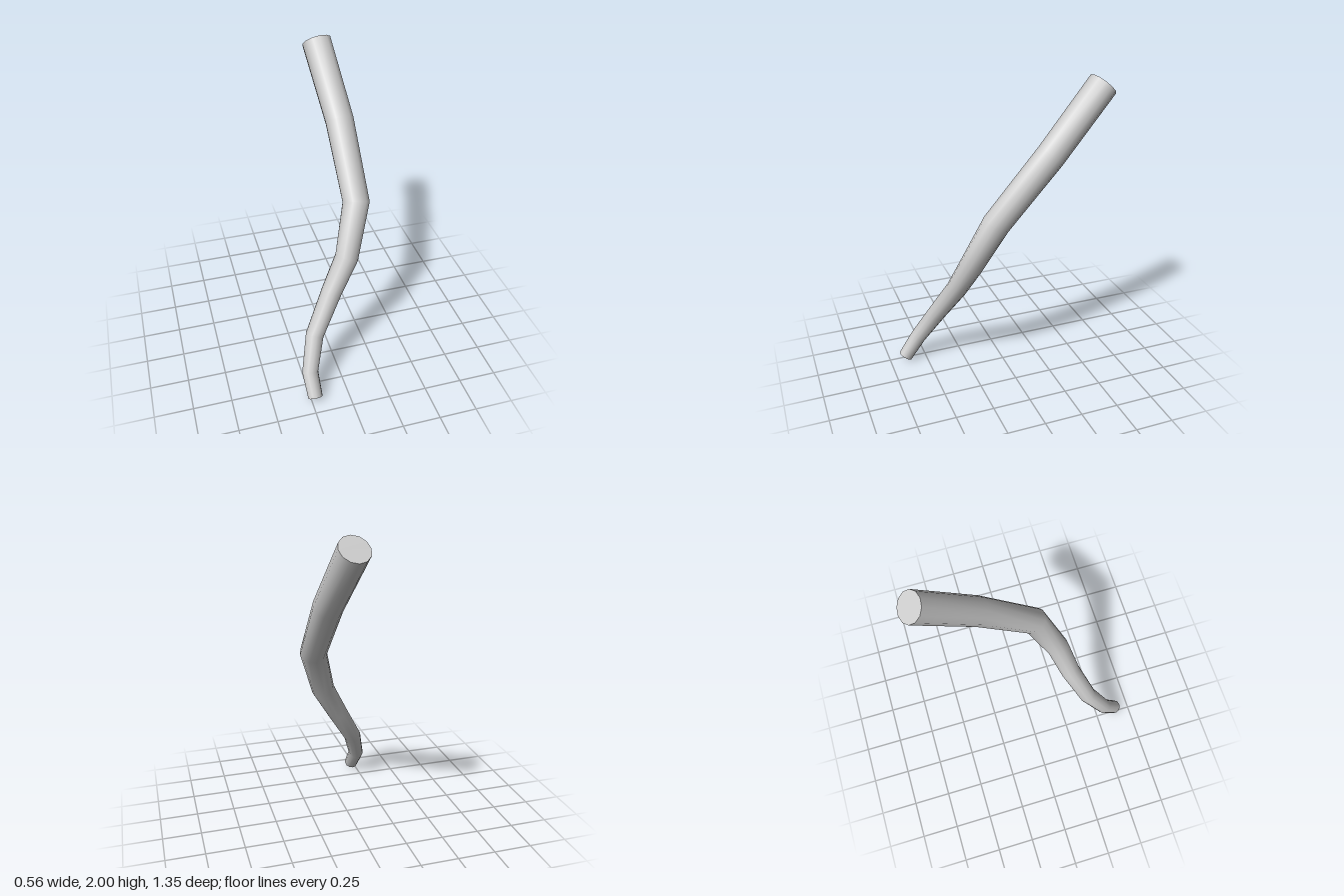
import * as THREE from 'three';

const SIDES = 12;

// Centre line from the thin lower end to the thick upper end: x, y, z, radius
const STATIONS = [
  [-0.225, 0.04, 0.645, 0.048],
  [-0.232, 0.175, 0.545, 0.053],
  [-0.167, 0.375, 0.423, 0.06],
  [-0.025, 0.62, 0.318, 0.068],
  [0.094, 0.832, 0.255, 0.077],
  [0.193, 1.15, 0.117, 0.088],
  [0.187, 1.547, -0.24, 0.093],
  [0.135, 1.945, -0.6, 0.096],
];

// One ring of points per station, square to the bend and carried along without twist
function makeRings() {
  const centres = STATIONS.map(([x, y, z]) => new THREE.Vector3(x, y, z));
  const steps = centres.slice(1).map((c, i) => c.clone().sub(centres[i]).normalize());
  const side = new THREE.Vector3(1, 0, 0);
  return centres.map((centre, i) => {
    const before = steps[Math.max(i - 1, 0)];
    const after = steps[Math.min(i, steps.length - 1)];
    const tangent = before.clone().add(after).normalize();
    side.addScaledVector(tangent, -side.dot(tangent)).normalize();
    const other = tangent.clone().cross(side);
    const r = STATIONS[i][3];
    return Array.from({ length: SIDES }, (_, j) => {
      const a = (j / SIDES) * Math.PI * 2;
      return centre.clone()
        .addScaledVector(side, r * Math.cos(a))
        .addScaledVector(other, r * Math.sin(a));
    });
  });
}

function makeMesh(name, points, index, material) {
  const geometry = new THREE.BufferGeometry().setFromPoints(points);
  geometry.setIndex(index);
  geometry.computeVertexNormals();
  const mesh = new THREE.Mesh(geometry, material);
  mesh.name = name;
  return mesh;
}

// Flat end disc as a fan
function makeCap(name, ring, flip, material) {
  const index = [];
  for (let j = 1; j < SIDES - 1; j++) index.push(0, flip ? j + 1 : j, flip ? j : j + 1);
  return makeMesh(name, ring, index, material);
}

export function createModel() {
  const group = new THREE.Group();
  group.name = 'bentBranch';
  const material = new THREE.MeshStandardMaterial({ color: 0xcccccc });
  const rings = makeRings();

  // Smooth tapering skin
  const index = [];
  for (let i = 0; i < rings.length - 1; i++) {
    for (let j = 0; j < SIDES; j++) {
      const k = (j + 1) % SIDES;
      const a = i * SIDES + j, b = i * SIDES + k;
      index.push(a, b, b + SIDES, a, b + SIDES, a + SIDES);
    }
  }
  group.add(makeMesh('branch', rings.flat(), index, material));

  // Cut ends
  group.add(makeCap('lowerEnd', rings[0], true, material));
  group.add(makeCap('upperEnd', rings[rings.length - 1], false, material));
  return group;
}
